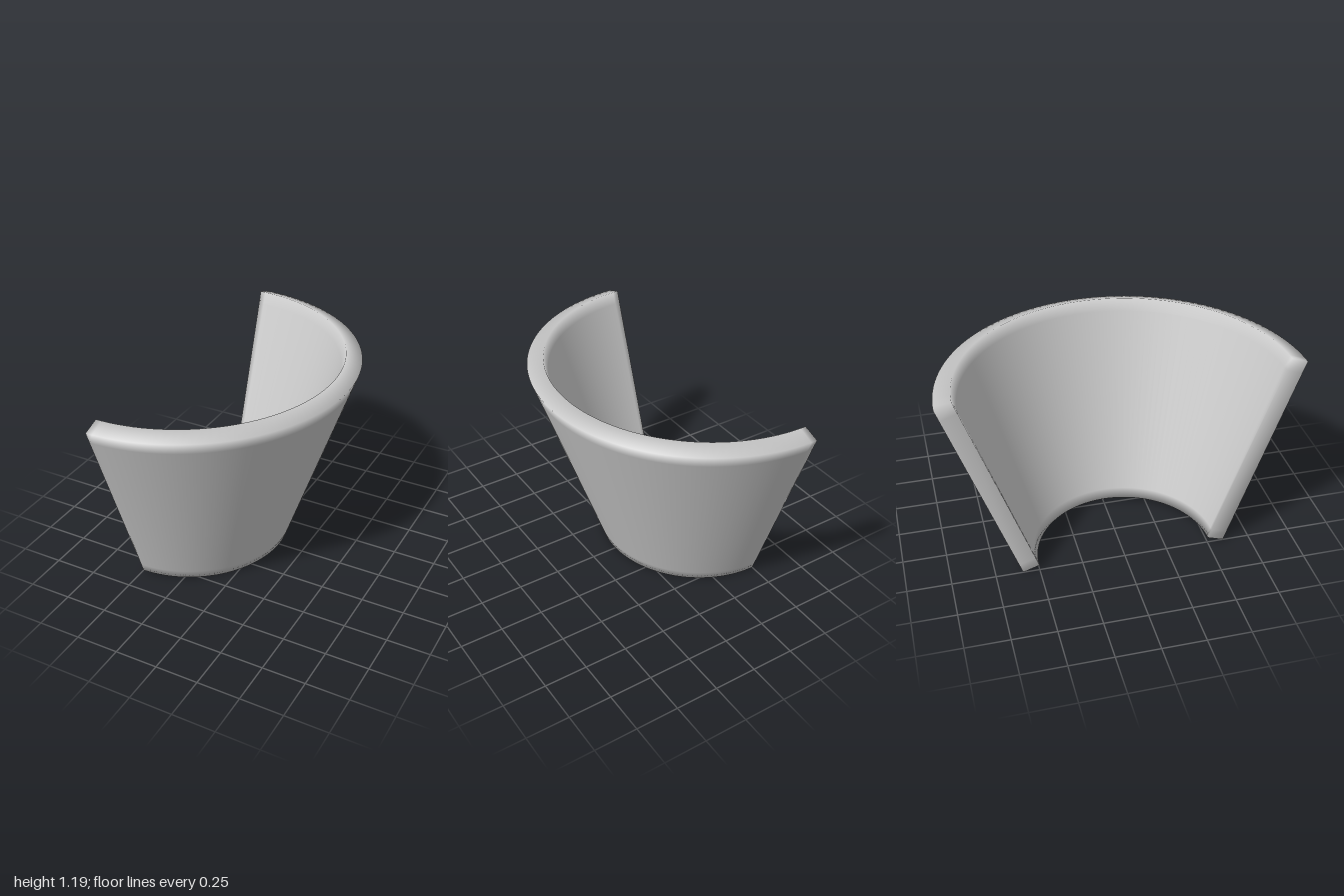
import * as THREE from 'three';
import { mergeVertices } from 'three/addons/utils/BufferGeometryUtils.js';

// Half of a conical shell: a box grid bent around an upright axis at x = -0.5
function createShell() {
  const arcSteps = 64;
  // positions along the arc and up the wall, with tight loops beside the edges
  const arc = [0, 0.012];
  for (let i = 1; i < arcSteps; i++) arc.push(0.012 + 0.976 * i / arcSteps);
  arc.push(0.988, 1);
  const rise = [0, 0.05, 0.94, 1];

  // outer wall line, and the wall thickness square to it
  const bottom = new THREE.Vector2(0.595, 0);
  const top = new THREE.Vector2(1, 1.16);
  const slope = top.clone().sub(bottom).normalize();
  const inward = new THREE.Vector2(-slope.y, slope.x).multiplyScalar(0.1);

  const nu = arc.length - 1, nv = rise.length - 1;
  let geo = new THREE.BoxGeometry(1, 1, 1, nu, nv, 1);
  const pos = geo.attributes.position;
  const p = new THREE.Vector2();
  for (let i = 0; i < pos.count; i++) {
    const u = arc[Math.round((pos.getX(i) + 0.5) * nu)];
    const v = rise[Math.round((pos.getY(i) + 0.5) * nv)];
    p.lerpVectors(bottom, top, v);
    if (pos.getZ(i) < 0) p.add(inward);
    const angle = Math.PI * (0.5 - u);
    pos.setXYZ(i, -0.5 + p.x * Math.cos(angle), p.y, p.x * Math.sin(angle));
  }

  // weld so the shading rolls softly over the rims and ends
  geo.deleteAttribute('normal');
  geo.deleteAttribute('uv');
  geo = mergeVertices(geo, 1e-4);
  geo.computeVertexNormals();
  return geo;
}

export function createModel() {
  const model = new THREE.Group();
  model.name = 'halfConeShell';
  const material = new THREE.MeshStandardMaterial({ color: 0xcccccc });
  const wall = new THREE.Mesh(createShell(), material);
  wall.name = 'curvedWall';
  model.add(wall);
  return model;
}
